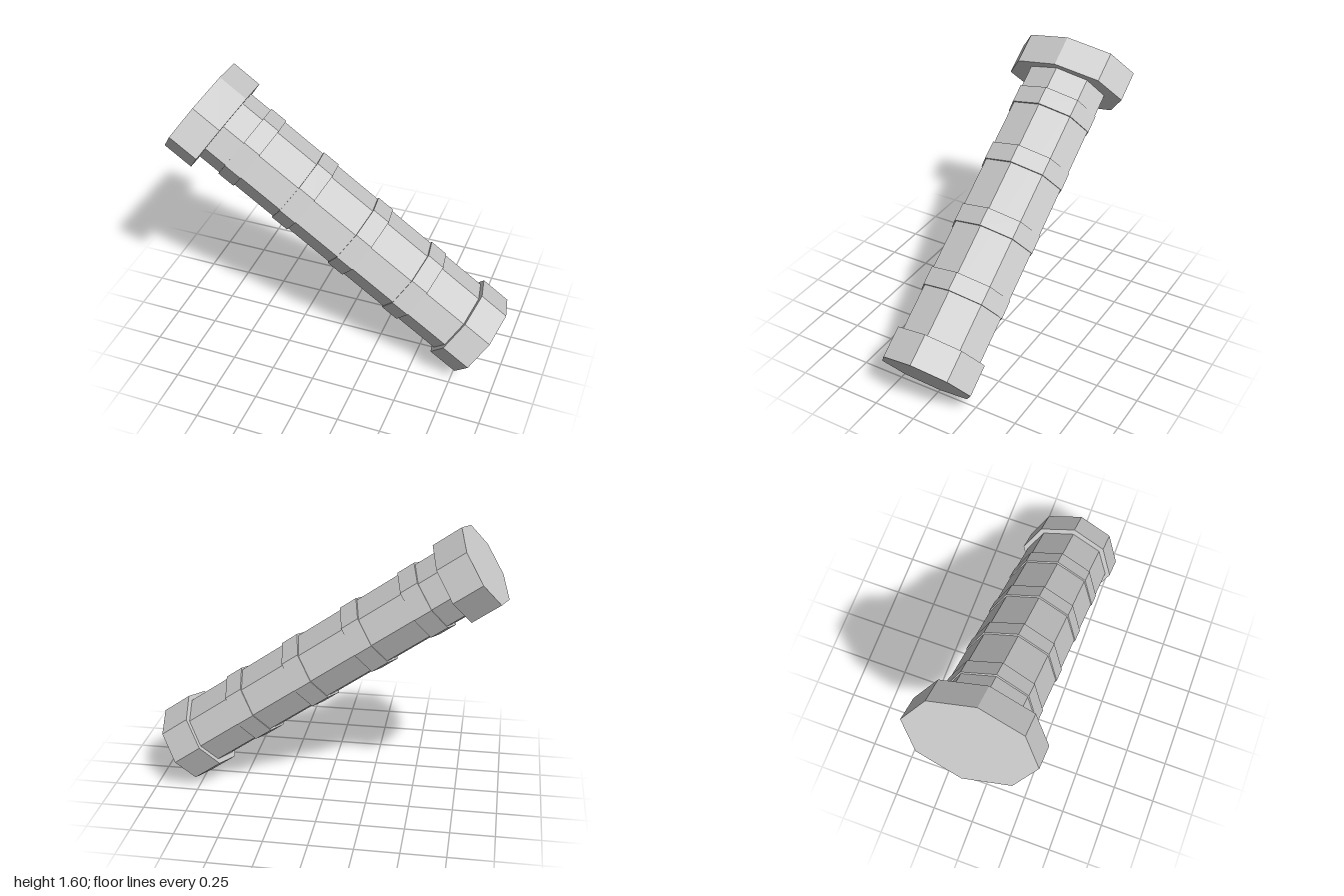
import * as THREE from 'three';

export function createModel() {
  const model = new THREE.Group();
  const material = new THREE.MeshStandardMaterial({ color: 0xcccccc, flatShading: true });

  // Handle axis is local y, leaning toward -x
  const handle = new THREE.Group();
  handle.name = 'handle';
  handle.position.set(0.376, 0.537, 0);
  handle.rotation.z = THREE.MathUtils.degToRad(55);
  model.add(handle);

  // Oval eight-sided section between two heights on the axis
  function section(name, from, to, halfX, halfZ) {
    const geometry = new THREE.CylinderGeometry(1, 1, to - from, 8);
    geometry.scale(halfX, 1, halfZ);
    geometry.translate(0, (from + to) / 2, 0);
    const mesh = new THREE.Mesh(geometry, material);
    mesh.name = name;
    handle.add(mesh);
  }

  section('shaft', -0.42, 1.33, 0.201, 0.26);
  section('upperCap', 1.321, 1.508, 0.242, 0.372);
  section('lowerCap', -0.597, -0.414, 0.233, 0.29);

  // Slightly raised grip bands
  [1.125, 0.735, 0.324, -0.083].forEach((center, i) => {
    section('gripBand' + (i + 1), center - 0.055, center + 0.055, 0.213, 0.266);
  });

  return model;
}
